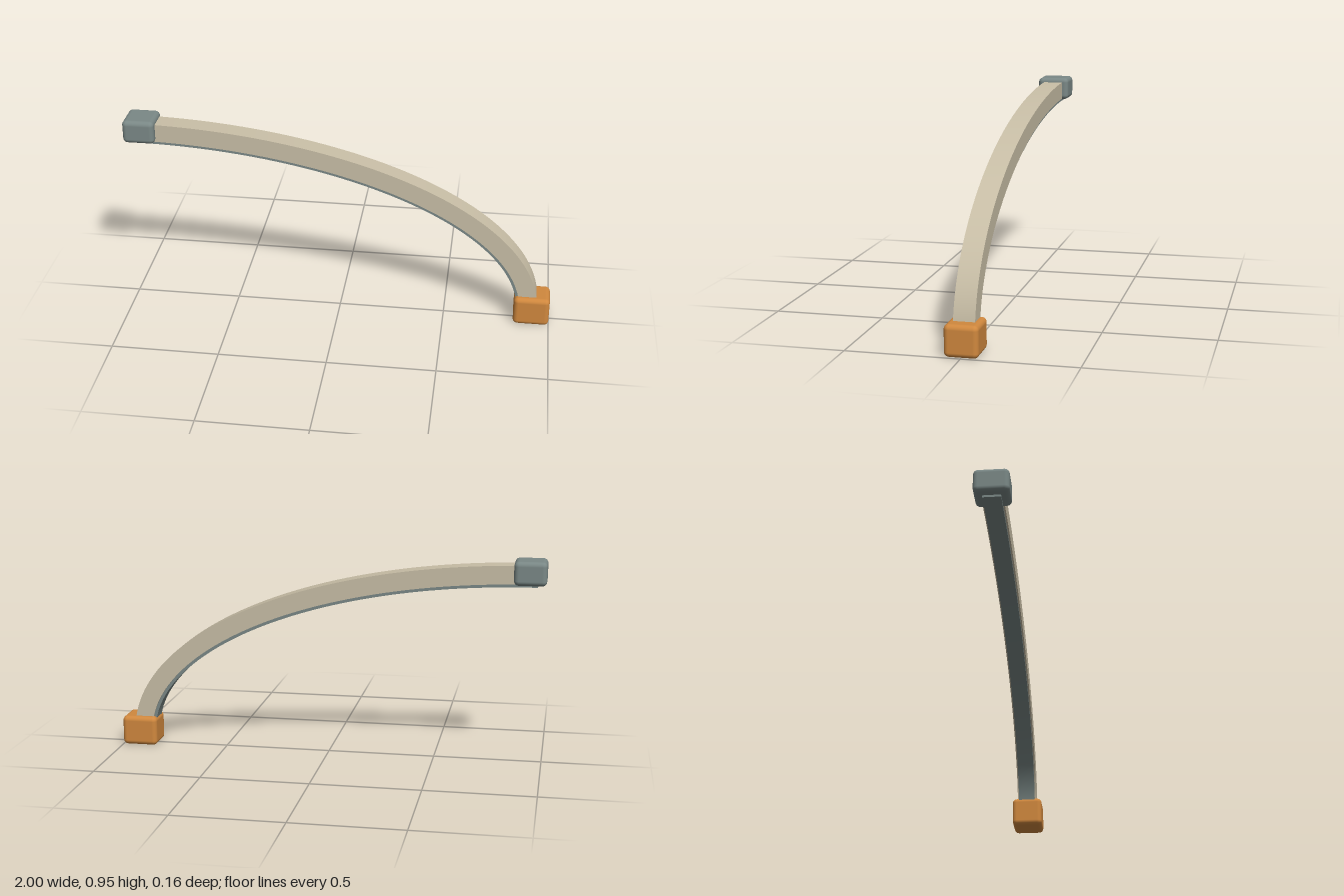
import * as THREE from 'three';
import { toCreasedNormals } from 'three/addons/utils/BufferGeometryUtils.js';
import { RoundedBoxGeometry } from 'three/addons/geometries/RoundedBoxGeometry.js';

const SEGMENTS = 64;

// Point on the quarter-ellipse centre line (t = 0 top, 1 foot), moved outward along the normal
function arcPoint(t, offset) {
  const angle = (1 - t) * Math.PI / 2;
  const a = 1.86, b = 0.815;
  const normal = new THREE.Vector2(Math.cos(angle) / a, Math.sin(angle) / b).normalize();
  return new THREE.Vector2(-0.96 + a * Math.cos(angle), 0.07 + b * Math.sin(angle))
    .addScaledVector(normal, offset);
}

// Curved bar of rectangular section between two offsets of the centre line
function curvedBar(name, inner, outer, width, color) {
  const top = [], bottom = [];
  for (let i = 0; i <= SEGMENTS; i++) {
    top.push(arcPoint(i / SEGMENTS, outer));
    bottom.unshift(arcPoint(i / SEGMENTS, inner));
  }
  const geometry = new THREE.ExtrudeGeometry(new THREE.Shape([...top, ...bottom]), {
    depth: width, bevelEnabled: false,
  });
  geometry.translate(0, 0, -width / 2);
  return part(name, toCreasedNormals(geometry, Math.PI / 6), color);
}

function part(name, geometry, color) {
  const mesh = new THREE.Mesh(geometry, new THREE.MeshStandardMaterial({ color }));
  mesh.name = name;
  return mesh;
}

// Rounded block closing one end of the beam
function endBlock(name, size, position, color) {
  const mesh = part(name, new RoundedBoxGeometry(...size, 4, 0.022), color);
  mesh.position.set(...position);
  return mesh;
}

export function createModel() {
  const model = new THREE.Group();
  model.name = 'curvedArm';
  model.add(
    // Main beam with a thin, slightly narrower liner on its inner side
    curvedBar('beam', -0.0425, 0.0425, 0.094, 0xc8bea6),
    curvedBar('innerLiner', -0.057, -0.04, 0.08, 0x7a8886),
    // Blocks at the upper end and at the foot
    endBlock('upperBlock', [0.148, 0.11, 0.156], [-0.926, 0.893, 0], 0x7a8886),
    endBlock('footBlock', [0.168, 0.14, 0.148], [0.916, 0.07, 0], 0xd0883e),
  );
  return model;
}
